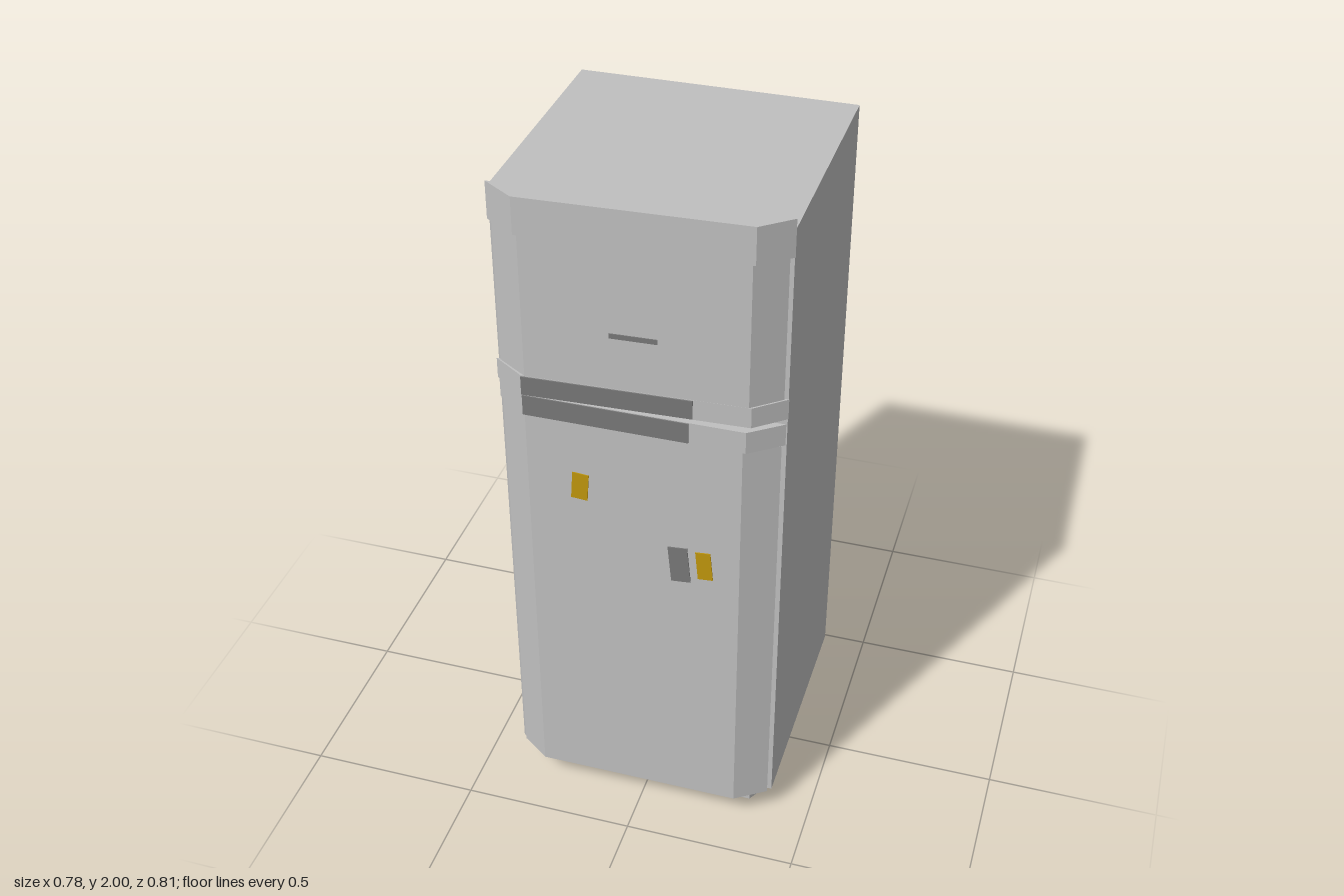
import * as THREE from 'three';

export function createModel() {
  const mat = (name, color) => {
    const m = new THREE.MeshStandardMaterial({ color, side: THREE.DoubleSide });
    m.name = name;
    return m;
  };
  const silver = mat('silver grey', 0xc0c0c0);
  const dark = mat('dark grey', 0x787878);
  const yellow = mat('mustard yellow', 0xc0960c);

  const model = new THREE.Group();
  model.name = 'refrigerator';

  const add = (parent, name, geo, material, x = 0, y = 0, z = 0) => {
    const mesh = new THREE.Mesh(geo, material);
    mesh.name = name;
    mesh.position.set(x, y, z);
    parent.add(mesh);
    return mesh;
  };

  // Open-backed cabinet made of thin sheets
  const L = -0.395, R = 0.388, BACK = -0.404, FRONT = 0.304;
  const W = R - L, D = FRONT - BACK, cx = (L + R) / 2, cz = (BACK + FRONT) / 2;
  const low = 0.08, shelf = 1.895, top = 1.97;
  const cabinet = new THREE.Group();
  cabinet.name = 'cabinet';
  model.add(cabinet);
  for (const [side, x, turn] of [['left', R, 1], ['right', L, -1]]) {
    const wall = add(cabinet, side + 'Wall', new THREE.PlaneGeometry(D, shelf - low), silver, x, (low + shelf) / 2, cz);
    const skirt = add(cabinet, side + 'LidEdge', new THREE.PlaneGeometry(D, top - shelf), silver, x, (shelf + top) / 2, cz);
    wall.rotation.y = skirt.rotation.y = turn * Math.PI / 2;
  }
  for (const [name, y] of [['innerTop', shelf], ['lid', top]]) {
    add(cabinet, name, new THREE.PlaneGeometry(W, D), silver, cx, y, cz).rotation.x = -Math.PI / 2;
  }
  add(cabinet, 'frontWall', new THREE.PlaneGeometry(W, top - low), silver, cx, (low + top) / 2, FRONT);

  // Door slab: chamfered plan (x, z) extruded upward
  const slab = (parent, name, plan, y0, y1) => {
    const shape = new THREE.Shape(plan.map(([x, z]) => new THREE.Vector2(x, -z)));
    const geo = new THREE.ExtrudeGeometry(shape, { depth: y1 - y0, bevelEnabled: false });
    geo.rotateX(-Math.PI / 2);
    return add(parent, name, geo, silver, 0, y0, 0);
  };

  // Lower door
  const lower = new THREE.Group();
  lower.name = 'lowerDoor';
  model.add(lower);
  slab(lower, 'lowerDoorPanel', [[-0.385, 0.317], [-0.302, 0.375], [0.29, 0.375], [0.378, 0.317]], 0.08, 1.345);
  slab(lower, 'lowerDoorBand', [[-0.395, 0.31], [-0.305, 0.376], [0.298, 0.376], [0.386, 0.31]], 1.345, 1.41);
  add(lower, 'lowerHandle', new THREE.BoxGeometry(0.452, 0.06, 0.006), dark, -0.08, 1.378, 0.376);

  // Upper door, slightly ajar on its left-hand hinge
  const upper = new THREE.Group();
  upper.name = 'upperDoor';
  upper.position.set(0.39, 0, 0.306);
  upper.rotation.y = 0.043;
  model.add(upper);
  const band = [[-0.777, 0], [-0.691, 0.063], [-0.083, 0.063], [0, 0]];
  slab(upper, 'upperDoorPanel', [[-0.765, 0.004], [-0.681, 0.0625], [-0.09, 0.0625], [-0.012, 0.004]], 1.485, 1.895);
  slab(upper, 'upperDoorTopBand', band, 1.895, 2);
  slab(upper, 'upperDoorBottomBand', band, 1.425, 1.485);
  add(upper, 'upperHandle', new THREE.BoxGeometry(0.456, 0.055, 0.006), dark, -0.463, 1.455, 0.0635);
  add(upper, 'trimStrip', new THREE.BoxGeometry(0.126, 0.014, 0.004), dark, -0.389, 1.643, 0.063);

  // Tilted magnets on the lower door
  const magnets = [
    [-0.155, 1.143, 0.046, 0.084, -0.07, yellow],
    [0.122, 0.938, 0.055, 0.115, 0.09, dark],
    [0.192, 0.948, 0.042, 0.09, 0.09, yellow],
  ];
  for (const [x, y, w, h, tilt, m] of magnets) {
    add(lower, 'magnet', new THREE.BoxGeometry(w, h, 0.004), m, x, y, 0.376).rotation.z = tilt;
  }

  // Hexagonal feet, open on top
  for (const x of [-0.305, 0.3]) {
    for (const z of [0.257, -0.327]) {
      const foot = new THREE.Group();
      foot.name = 'foot';
      foot.position.set(x, 0, z);
      model.add(foot);
      const tube = new THREE.CylinderGeometry(0.036, 0.036, 0.08, 6, 1, true).toNonIndexed();
      tube.computeVertexNormals();
      add(foot, 'footSides', tube, silver, 0, 0.04, 0).rotation.y = Math.PI / 6;
      const sole = add(foot, 'footSole', new THREE.CircleGeometry(0.036, 6), silver);
      sole.rotation.x = Math.PI / 2;
    }
  }
  return model;
}
